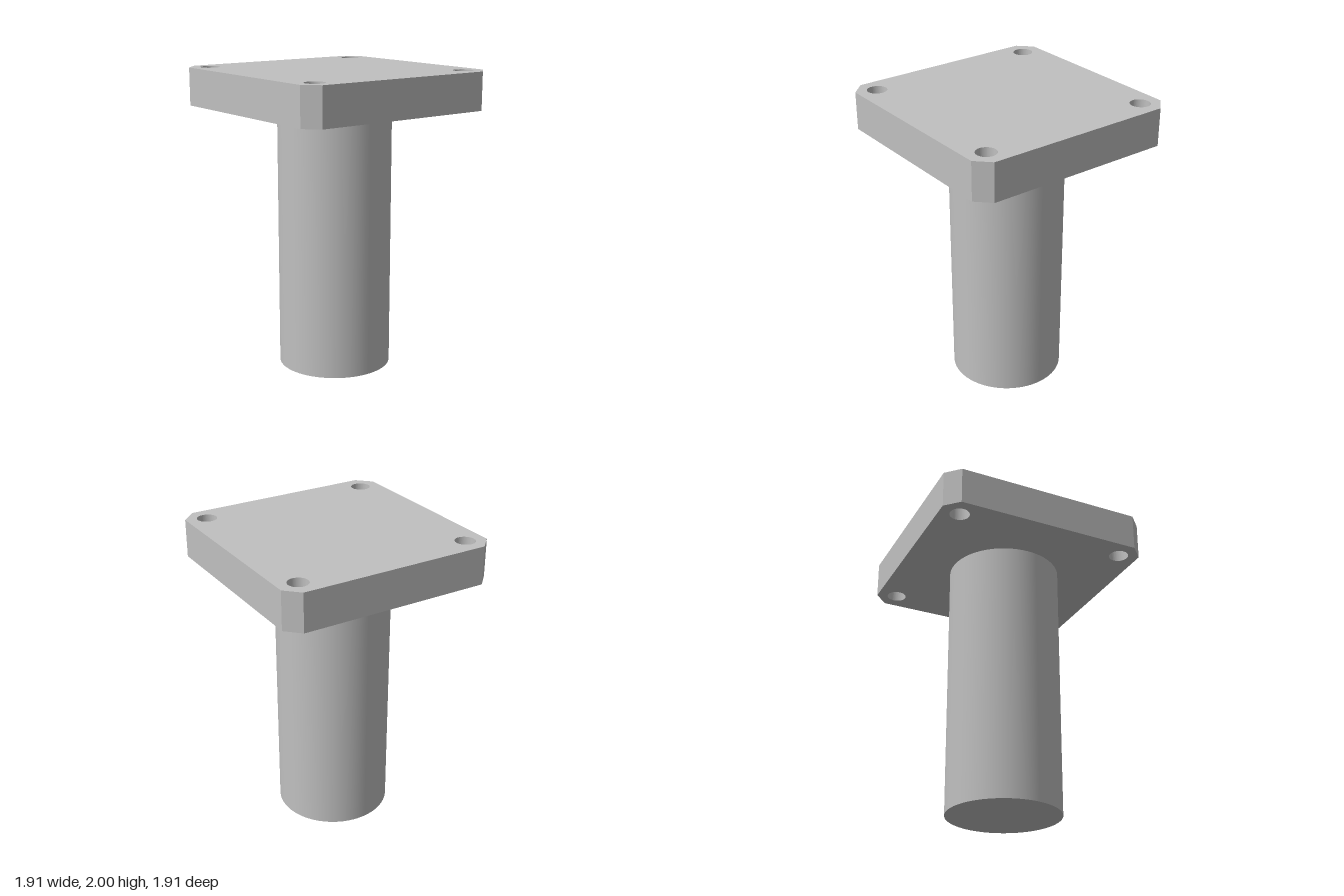
import * as THREE from 'three';

const PLATE_BOTTOM = 1.75;
const PLATE_TOP = 2;
const REACH = 0.955; // centre to chamfered corner
const CHAMFER = 0.064; // half width of a chamfer
const HOLE_OFFSET = 0.83;
const HOLE_RADIUS = 0.065;
const POST_RADIUS = 0.377;

// Square plate turned 45 degrees, with chamfered corners and a hole near each
function createPlateGeometry() {
  const outline = [];
  const holes = [];
  for (let i = 0; i < 4; i++) {
    const angle = (i * Math.PI) / 2;
    const centre = new THREE.Vector2();
    for (const side of [-CHAMFER, CHAMFER]) {
      outline.push(new THREE.Vector2(REACH, side).rotateAround(centre, angle));
    }
    const hole = new THREE.Path();
    hole.absarc(HOLE_OFFSET * Math.cos(angle), HOLE_OFFSET * Math.sin(angle), HOLE_RADIUS, 0, Math.PI * 2, true);
    holes.push(hole);
  }
  const shape = new THREE.Shape(outline);
  shape.holes.push(...holes);
  const geometry = new THREE.ExtrudeGeometry(shape, {
    depth: PLATE_TOP - PLATE_BOTTOM,
    bevelEnabled: false,
    curveSegments: 40,
  });
  return geometry.rotateX(-Math.PI / 2);
}

export function createModel() {
  const group = new THREE.Group();
  group.name = 'flangedPost';
  const grey = new THREE.MeshStandardMaterial({ color: 0xc0c0c0 });
  grey.name = 'grey metal';

  // Mounting plate
  const plate = new THREE.Mesh(createPlateGeometry(), grey);
  plate.name = 'mountingPlate';
  plate.position.y = PLATE_BOTTOM;

  // Solid round post
  const post = new THREE.Mesh(new THREE.CylinderGeometry(POST_RADIUS, POST_RADIUS, PLATE_BOTTOM, 72), grey);
  post.name = 'post';
  post.position.y = PLATE_BOTTOM / 2;

  group.add(plate, post);
  return group;
}
